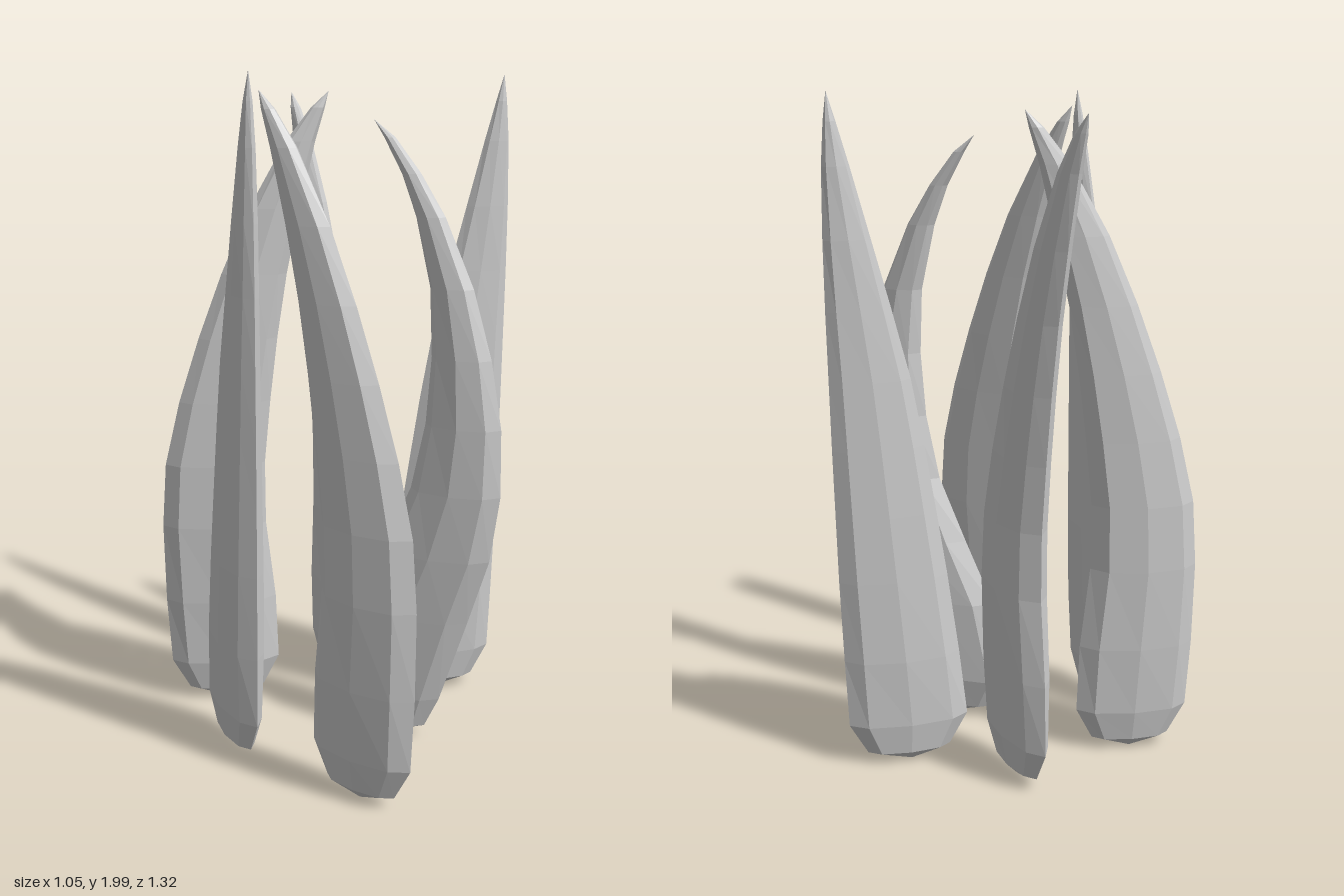
import * as THREE from 'three';

const SIDES = 8;

// Each row is a cross-section: height, inner edge, outer edge, half thickness.
const PROFILES = {
  // leans over towards its tip
  swept: [
    [0.01, 0, 0, 0], [0.045, -0.12, 0.12, 0.035], [0.14, -0.175, 0.17, 0.052],
    [0.35, -0.188, 0.163, 0.062], [0.6, -0.192, 0.135, 0.065], [0.8, -0.178, 0.135, 0.062],
    [1.0, -0.13, 0.155, 0.056], [1.2, -0.065, 0.18, 0.05], [1.4, 0.01, 0.212, 0.043],
    [1.6, 0.098, 0.255, 0.036], [1.8, 0.212, 0.303, 0.026], [1.9, 0.29, 0.333, 0.016],
    [1.95, 0.345, 0.345, 0],
  ],
  // nearly upright outer edge
  straight: [
    [0.01, 0, 0, 0], [0.045, -0.12, 0.135, 0.036], [0.14, -0.175, 0.19, 0.05],
    [0.35, -0.15, 0.2, 0.058], [0.6, -0.115, 0.21, 0.055], [0.8, -0.083, 0.215, 0.05],
    [1.0, -0.05, 0.22, 0.045], [1.2, -0.012, 0.224, 0.04], [1.4, 0.04, 0.228, 0.034],
    [1.6, 0.095, 0.23, 0.029], [1.8, 0.15, 0.228, 0.021], [1.92, 0.185, 0.22, 0.013],
    [2.0, 0.21, 0.21, 0],
  ],
  // bulges outwards, then curls back
  curled: [
    [0.01, 0, 0, 0], [0.045, -0.12, 0.105, 0.036], [0.14, -0.178, 0.152, 0.052],
    [0.4, -0.13, 0.24, 0.062], [0.6, -0.035, 0.305, 0.063], [0.8, 0.055, 0.335, 0.06],
    [1.0, 0.1, 0.333, 0.056], [1.2, 0.117, 0.3, 0.05], [1.4, 0.11, 0.243, 0.042],
    [1.6, 0.065, 0.155, 0.033], [1.72, 0.02, 0.08, 0.026], [1.82, -0.035, 0.0, 0.016],
    [1.87, -0.067, -0.067, 0],
  ],
};

// Lofts an eight-sided blade through the cross-sections.
function bladeGeometry(rows) {
  const positions = [];
  const indices = [];
  rows.forEach(([y, inner, outer, half], r) => {
    const mid = (inner + outer) / 2;
    const radius = (outer - inner) / 2;
    for (let i = 0; i < SIDES; i++) {
      const a = (i / SIDES) * Math.PI * 2;
      positions.push(mid + radius * Math.cos(a), y, half * Math.sin(a));
      if (r === 0) continue;
      const next = (i + 1) % SIDES;
      const below = (r - 1) * SIDES;
      const above = r * SIDES;
      // the end rows are single points, so each needs one triangle per side
      if (r < rows.length - 1) indices.push(below + i, above + i, above + next);
      if (r > 1) indices.push(below + i, above + next, below + next);
    }
  });
  const geometry = new THREE.BufferGeometry();
  geometry.setAttribute('position', new THREE.Float32BufferAttribute(positions, 3));
  geometry.setIndex(indices);
  const flat = geometry.toNonIndexed();
  flat.computeVertexNormals();
  return flat;
}

// Name, profile, foot position (x, z) and the direction (x, z) it leans in.
const BLADES = [
  ['backBlade', 'swept', [0.06, -0.32], [0, -1]],
  ['backRightBlade', 'swept', [-0.337, -0.322], [0.95, 0.32]],
  ['frontRightBlade', 'swept', [-0.24, 0.482], [-0.43, -0.9]],
  ['rightBlade', 'straight', [-0.437, 0.012], [0, 1]],
  ['leftBlade', 'straight', [0.302, -0.09], [0.975, 0.21]],
  ['frontBlade', 'curled', [0.035, 0.145], [0.64, 0.77]],
];

export function createModel() {
  const model = new THREE.Group();
  model.name = 'bladeCluster';
  const material = new THREE.MeshStandardMaterial({ color: 0xcccccc, flatShading: true });
  const geometries = {};
  for (const key in PROFILES) geometries[key] = bladeGeometry(PROFILES[key]);

  for (const [name, profile, [x, z], [dx, dz]] of BLADES) {
    const blade = new THREE.Mesh(geometries[profile], material);
    blade.name = name;
    blade.position.set(x, -0.005, z);
    blade.rotation.y = Math.atan2(-dz, dx);
    model.add(blade);
  }
  return model;
}
